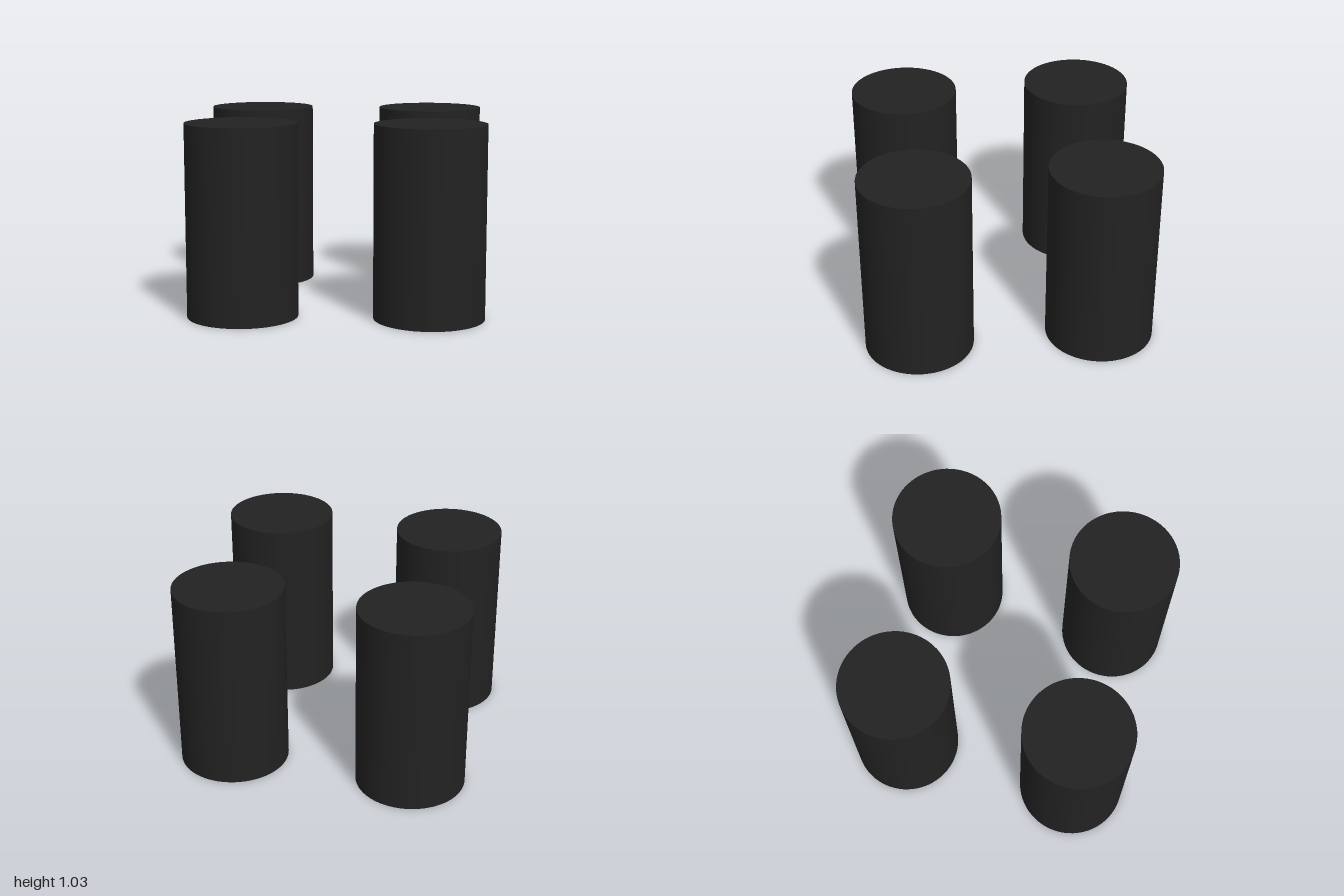
import * as THREE from 'three';

const RADIUS = 0.297;
const HEIGHT = 1.035;
const OFFSET = 0.703; // distance of each cylinder's axis from the centre

export function createModel() {
  const model = new THREE.Group();
  model.name = 'cylinderCluster';

  const material = new THREE.MeshStandardMaterial({ color: 0x222222 });
  const geometry = new THREE.CylinderGeometry(RADIUS, RADIUS, HEIGHT, 64);

  // Four identical upright cylinders arranged in a cross
  ['front', 'left', 'back', 'right'].forEach((side, i) => {
    const angle = (i * Math.PI) / 2;
    const cylinder = new THREE.Mesh(geometry, material);
    cylinder.name = `${side}Cylinder`;
    cylinder.position.set(Math.sin(angle) * OFFSET, HEIGHT / 2, Math.cos(angle) * OFFSET);
    model.add(cylinder);
  });

  return model;
}
